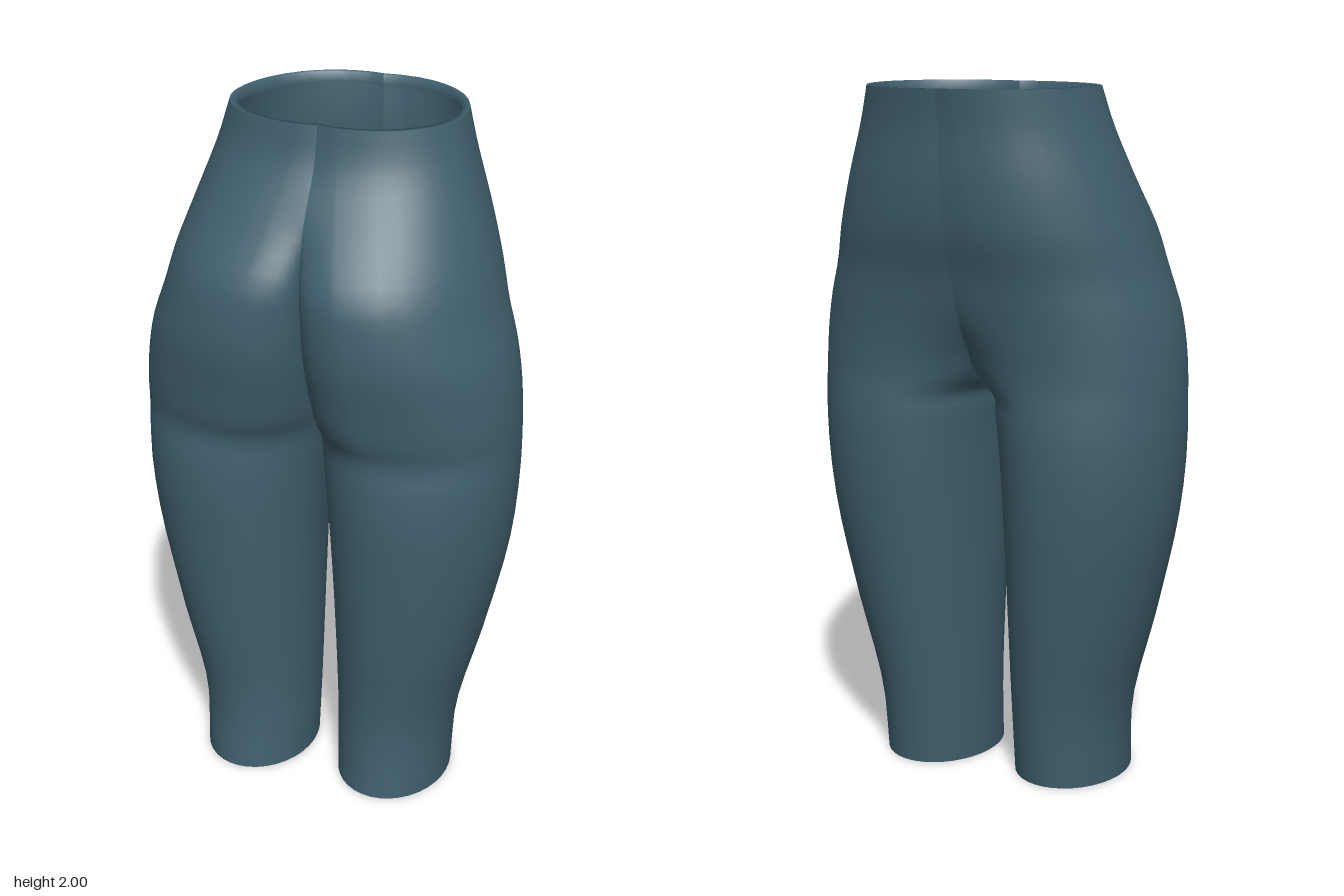
import * as THREE from 'three';
import { mergeVertices } from 'three/addons/utils/BufferGeometryUtils.js';

const ARC = 9;        // segments in each quarter of a half ring
const CROTCH = 1.13;  // height where the legs join

// Outline of one side, by height
const heights = [0, 0.2, 0.5, 0.8, 1.0, 1.13, 1.18, 1.3, 1.4, 1.5, 1.6, 1.75, 1.9, 2];
const track = (values) => {
  const curve = new THREE.CubicInterpolant(heights, values, 1);
  return (y) => curve.evaluate(y)[0];
};
const innerX = track([0.05, 0.045, 0.037, 0.025, 0.012, 0, 0, 0, 0, 0, 0, 0, 0, 0]);
const outerX = track([0.38, 0.39, 0.465, 0.53, 0.549, 0.551, 0.55, 0.54, 0.52, 0.487, 0.46, 0.412, 0.36, 0.33]);
const outerZ = track([0.075, 0.06, 0.05, 0.045, 0.045, 0.045, 0.045, 0.04, 0.03, 0.01, -0.01, -0.04, -0.06, -0.07]);
// Belly side: fullest point and centre line
const bellyX = track([0.215, 0.215, 0.24, 0.26, 0.26, 0.25, 0.25, 0.23, 0.2, 0.16, 0.12, 0.08, 0.06, 0.05]);
const bellyZ = track([-0.135, -0.155, -0.2, -0.24, -0.255, -0.252, -0.248, -0.255, -0.27, -0.29, -0.325, -0.348, -0.355, -0.37]);
const bellyMidZ = track([0.08, 0.07, 0.07, 0.08, 0.09, 0.09, -0.08, -0.2, -0.252, -0.283, -0.32, -0.343, -0.35, -0.365]);
// Seat side: fullest point and centre line
const seatX = track([0.215, 0.215, 0.24, 0.25, 0.25, 0.22, 0.2, 0.18, 0.17, 0.16, 0.14, 0.1, 0.07, 0.06]);
const seatZ = track([0.285, 0.268, 0.298, 0.322, 0.33, 0.318, 0.335, 0.358, 0.375, 0.375, 0.36, 0.265, 0.18, 0.16]);
const seatMidZ = track([0.08, 0.07, 0.07, 0.08, 0.09, 0.09, 0.14, 0.21, 0.245, 0.265, 0.275, 0.252, 0.172, 0.15]);

// Half ring from the belly centre, round the outside, to the seat centre.
// Below the crotch both ends meet, so the ring closes into a leg.
function halfRing(y) {
  const xi = Math.max(0, y >= CROTCH ? 0 : innerX(y));
  const w = outerX(y), zm = outerZ(y);
  const quarter = (px, pz, midZ, soft) => {
    const pts = [];
    for (let i = 0; i <= ARC; i++) {          // centre to fullest point
      const t = (i / ARC) * Math.PI / 2;
      const rise = THREE.MathUtils.lerp(Math.sin(t), Math.sin(t) ** 2, soft);
      pts.push(new THREE.Vector3(px - (px - xi) * Math.cos(t), y, midZ + (pz - midZ) * rise));
    }
    for (let i = 1; i <= ARC; i++) {          // fullest point to outer side
      const t = (i / ARC) * Math.PI / 2;
      pts.push(new THREE.Vector3(px + (w - px) * Math.sin(t), y, zm + (pz - zm) * Math.cos(t)));
    }
    return pts;
  };
  const back = seatMidZ(y);
  const front = y <= CROTCH ? back : bellyMidZ(y);
  const belly = quarter(bellyX(y), bellyZ(y), front, THREE.MathUtils.smoothstep(y, CROTCH, 1.26));
  const seat = quarter(seatX(y), seatZ(y), back, THREE.MathUtils.smoothstep(y, 1.6, 1.76));
  return belly.concat(seat.reverse().slice(1));
}

// Skin rows of points, on the given sides (1 = left, -1 = right)
function loft(rows, sides) {
  const positions = [], index = [], n = rows[0].length;
  for (const side of sides) {
    const start = positions.length / 3;
    for (const row of rows) for (const p of row) positions.push(p.x * side, p.y, p.z);
    for (let r = 0; r < rows.length - 1; r++) {
      for (let j = 0; j < n - 1; j++) {
        const a = start + r * n + j, b = a + 1, c = a + n, d = c + 1;
        if (side > 0) index.push(a, c, b, b, c, d);
        else index.push(a, b, c, b, d, c);
      }
    }
  }
  let geometry = new THREE.BufferGeometry();
  geometry.setAttribute('position', new THREE.Float32BufferAttribute(positions, 3));
  geometry.setIndex(index);
  geometry = mergeVertices(geometry, 1e-4);
  geometry.computeVertexNormals();
  return geometry;
}

// Narrow edge turned inwards around an opening
function rimRows(y, cx, cz, depth) {
  const ring = halfRing(y);
  const inset = (dy) => ring.map((p) => new THREE.Vector3(
    cx + (p.x - cx) * 0.94, y + dy, cz + (p.z - cz) * 0.94));
  const rows = [ring, inset(0), inset(depth)];
  return depth < 0 ? rows : rows.reverse();
}

export function createModel() {
  const group = new THREE.Group();
  const fabric = new THREE.MeshStandardMaterial({ color: 0x40606e, side: THREE.DoubleSide });
  fabric.name = 'slate blue';
  const add = (name, geometry) => {
    const mesh = new THREE.Mesh(geometry, fabric);
    mesh.name = name;
    group.add(mesh);
  };

  // Hips and legs in one skin, with closer rows around the crotch and seat
  const levels = [];
  for (let y = 0; y < 1.04; y += 0.08) levels.push(y);
  for (let y = 1.07; y < 1.255; y += 0.02) levels.push(y);
  for (let y = 1.28; y < 1.98; y += 0.04) levels.push(y);
  levels.push(2);
  add('hipsAndLegs', loft(levels.map(halfRing), [1, -1]));

  // Edges of the waist and leg openings
  add('waistRim', loft(rimRows(2, 0, -0.1, -0.03), [1, -1]));
  add('leftLegRim', loft(rimRows(0, 0.215, 0.075, 0.03), [1]));
  add('rightLegRim', loft(rimRows(0, 0.215, 0.075, 0.03), [-1]));

  return group;
}
